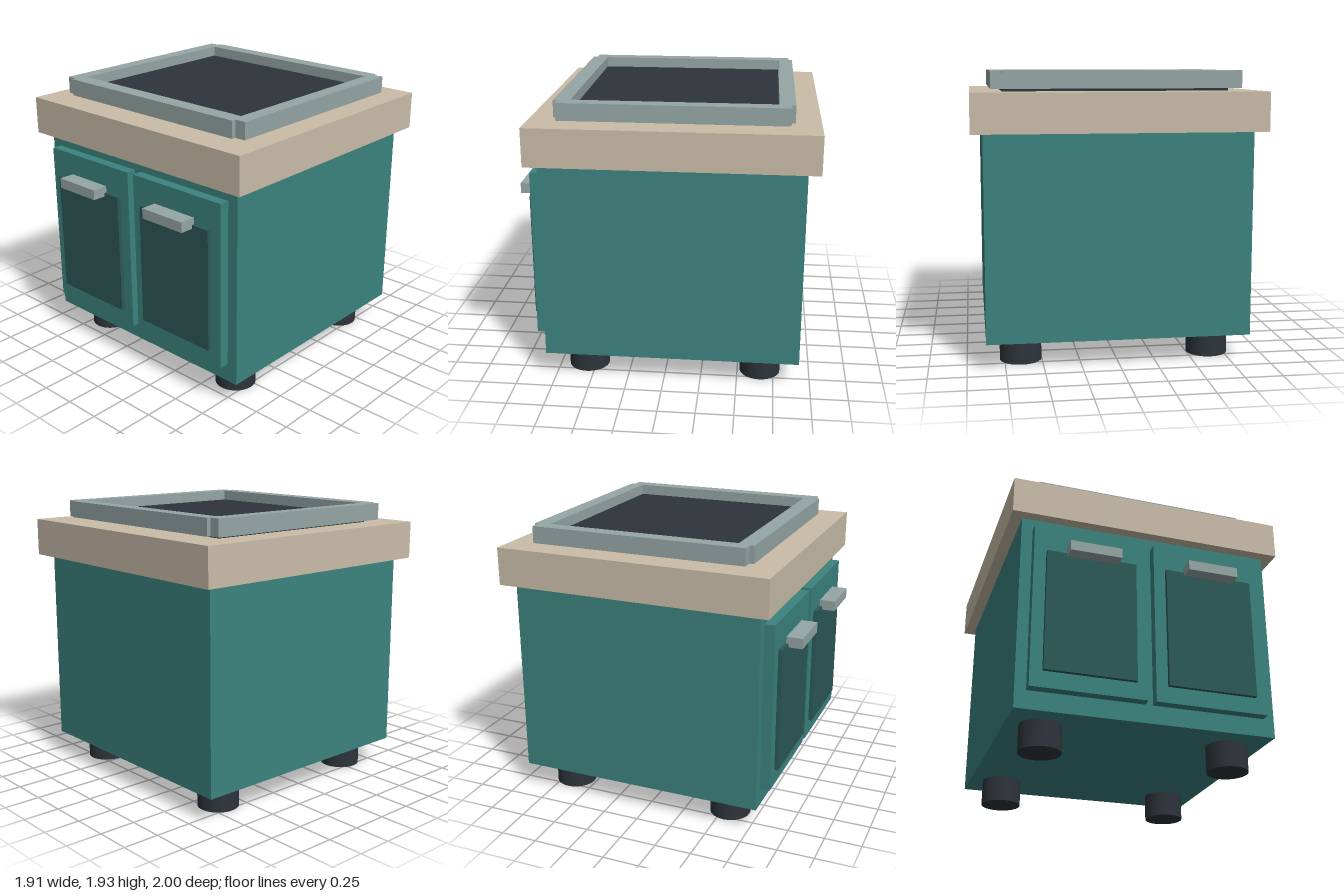
import * as THREE from 'three';

const material = (name, color) => {
  const m = new THREE.MeshStandardMaterial({ color });
  m.name = name;
  return m;
};

export function createModel() {
  const teal = material('teal paint', 0x3b837e);
  const darkTeal = material('dark teal', 0x2c5957);
  const stone = material('beige worktop', 0xcabda9);
  const metal = material('grey metal', 0x95a6a5);
  const black = material('charcoal', 0x2d343a);

  const model = new THREE.Group();
  model.name = 'cabinet';

  // Box given by its limits on each axis
  const box = (name, mat, [x0, x1], [y0, y1], [z0, z1]) => {
    const mesh = new THREE.Mesh(new THREE.BoxGeometry(x1 - x0, y1 - y0, z1 - z0), mat);
    mesh.position.set((x0 + x1) / 2, (y0 + y1) / 2, (z0 + z1) / 2);
    mesh.name = name;
    model.add(mesh);
  };
  // Range mirrored to the chosen side
  const side = (s, a, b) => (s > 0 ? [a, b] : [-b, -a]);

  // Carcass and worktop
  box('body', teal, [-0.875, 0.875], [0.18, 1.54], [-0.92, 0.81]);
  box('worktop', stone, [-0.953, 0.953], [1.54, 1.797], [-1, 0.885]);

  // Dark plate sunk inside a raised rim
  box('hobPlate', black, [-0.745, 0.745], [1.797, 1.858], [-0.735, 0.625]);
  const rimY = [1.815, 1.93];
  box('rimFront', metal, [-0.745, 0.745], rimY, [0.605, 0.715]);
  box('rimBack', metal, [-0.745, 0.745], rimY, [-0.83, -0.725]);

  const footGeometry = new THREE.CylinderGeometry(0.14, 0.14, 0.18, 32);
  for (const s of [1, -1]) {
    const label = s > 0 ? 'left' : 'right';
    box(label + 'Rim', metal, side(s, 0.72, 0.82), rimY, [-0.803, 0.685]);

    // Door with inset panel and bar handle
    box(label + 'Door', teal, side(s, 0.027, 0.8), [0.305, 1.455], [0.81, 0.88]);
    box(label + 'DoorPanel', darkTeal, side(s, 0.107, 0.718), [0.417, 1.265], [0.88, 0.907]);
    box(label + 'Handle', metal, side(s, 0.235, 0.585), [1.24, 1.31], [0.89, 1]);

    // Round feet
    for (const [end, z] of [['Front', 0.55], ['Back', -0.657]]) {
      const foot = new THREE.Mesh(footGeometry, black);
      foot.position.set(s * 0.642, 0.09, z);
      foot.name = label + end + 'Foot';
      model.add(foot);
    }
  }
  return model;
}
